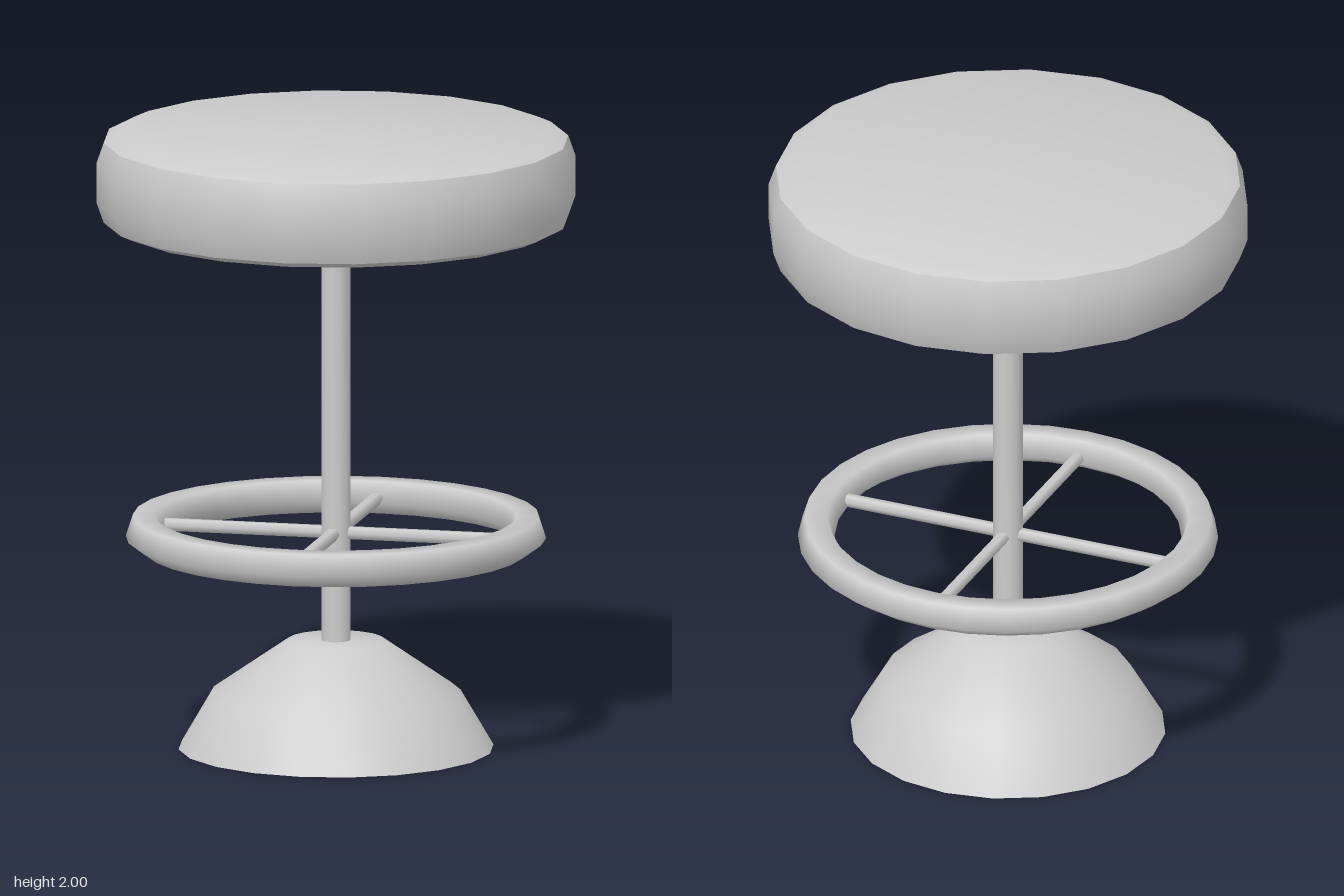
import * as THREE from 'three';
import { toCreasedNormals } from 'three/addons/utils/BufferGeometryUtils.js';

const material = new THREE.MeshStandardMaterial({ color: 0xcccccc });

// Turned part from [radius, y] points listed bottom to top, on the outside
function turned(name, points, sides, crease = 0.7) {
  const profile = points.map(([r, y]) => new THREE.Vector2(r, y));
  const geometry = toCreasedNormals(new THREE.LatheGeometry(profile, sides), crease);
  const mesh = new THREE.Mesh(geometry, material);
  mesh.name = name;
  return mesh;
}

export function createModel() {
  const stool = new THREE.Group();
  stool.name = 'barStool';

  // Domed foot with a flat top
  stool.add(turned('base', [[0, 0], [0.505, 0], [0.4, 0.18], [0.155, 0.35], [0, 0.35]], 20));

  // Central column
  stool.add(turned('column', [[0, 0.34], [0.048, 0.34], [0.048, 1.71], [0, 1.71]], 12));

  // Round cushion with bevelled edges
  stool.add(turned('seat', [
    [0, 1.7], [0.7, 1.7], [0.745, 1.72], [0.768, 1.785],
    [0.768, 1.915], [0.745, 1.98], [0.7, 2], [0, 2],
  ], 20));

  // Foot ring: five-sided tube with one corner pointing down
  const section = [];
  for (let i = 0; i <= 5; i++) {
    const a = -Math.PI / 2 + (i * Math.PI * 2) / 5;
    section.push([0.613 + 0.062 * Math.cos(a), 0.704 + 0.062 * Math.sin(a)]);
  }
  stool.add(turned('footRing', section, 32, 1.4));

  // Four spokes joining the column to the ring
  const spokes = new THREE.Group();
  spokes.name = 'footRingSpokes';
  const spokeGeometry = new THREE.CylinderGeometry(0.022, 0.022, 0.56, 6);
  spokeGeometry.rotateZ(Math.PI / 2).translate(0.28, 0.7, 0);
  for (let i = 0; i < 4; i++) {
    const spoke = new THREE.Mesh(spokeGeometry, material);
    spoke.name = 'spoke';
    spoke.rotation.y = (i * Math.PI) / 2;
    spokes.add(spoke);
  }
  stool.add(spokes);

  return stool;
}
